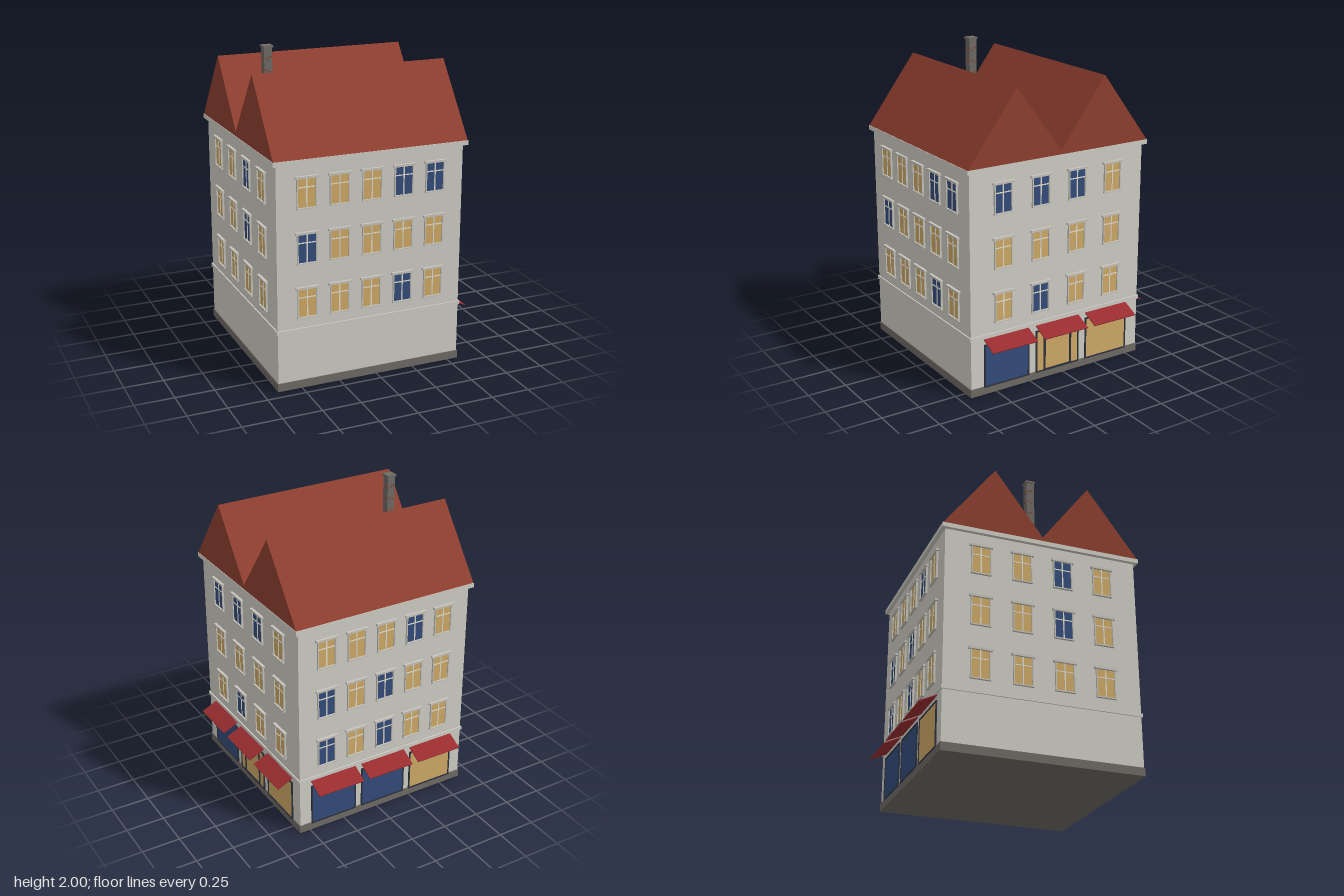
import * as THREE from 'three';

const mat = (name, color) => {
  const m = new THREE.MeshStandardMaterial({ color });
  m.name = name;
  return m;
};

export function createModel() {
  const wall = mat('plaster', 0xcfcdc5);
  const trim = mat('window trim', 0xc6c4bb);
  const roofMat = mat('roof tile', 0x8f3f30);
  const stone = mat('stone', 0x6f6a64);
  const lit = mat('lit glass', 0xd0aa66);
  const blue = mat('blue glass', 0x344c7c);
  const awningMat = mat('awning cloth', 0x9a2c30);
  const dark = mat('dark frame', 0x2c3240);
  const bar = mat('glazing bar', 0xe0dccf);
  const brick = mat('brick', 0x8a4434);

  const model = new THREE.Group();
  model.name = 'cornerHouse';
  // The house body sits off centre, since awnings project on two sides only
  const house = new THREE.Group();
  house.name = 'house';
  house.position.set(-0.042, 0, 0.046);
  model.add(house);

  const HX = 0.61, HZ = 0.63; // half width and half depth of the walls

  const add = (parent, name, geo, material, x = 0, y = 0, z = 0) => {
    const mesh = new THREE.Mesh(geo, material);
    mesh.name = name;
    mesh.position.set(x, y, z);
    parent.add(mesh);
    return mesh;
  };
  const box = (parent, name, material, w, h, d, x, y, z) =>
    add(parent, name, new THREE.BoxGeometry(w, h, d), material, x, y, z);
  // Storey slab between two heights, overhanging the walls by a margin
  const slab = (name, material, y0, y1, over) =>
    box(house, name, material, 2 * (HX + over), y1 - y0, 2 * (HZ + over), 0, (y0 + y1) / 2, 0);

  slab('walls', wall, 0.04, 1.43, 0);
  slab('plinth', stone, 0, 0.052, 0.005);
  slab('stringCourse', wall, 0.372, 0.395, 0.008);
  slab('cornice', wall, 1.42, 1.449, 0.024);

  // Twin-ridged roof, extruded along x
  const profile = new THREE.Shape();
  profile.moveTo(-0.65, 1.449);
  profile.lineTo(0.65, 1.449);
  profile.lineTo(0.315, 1.895);
  profile.lineTo(0, 1.475);
  profile.lineTo(-0.315, 1.895);
  profile.closePath();
  const roofGeo = new THREE.ExtrudeGeometry(profile, { depth: 1.262, bevelEnabled: false });
  roofGeo.translate(0, 0, -0.631).rotateY(Math.PI / 2);
  add(house, 'roof', roofGeo, roofMat);

  // Chimney with cap and exposed bricks
  const chimney = new THREE.Group();
  chimney.name = 'chimney';
  chimney.position.set(-0.419, 0, -0.003);
  house.add(chimney);
  box(chimney, 'chimneyStack', stone, 0.052, 0.38, 0.052, 0, 1.8, 0);
  box(chimney, 'chimneyCap', stone, 0.064, 0.014, 0.064, 0, 1.993, 0);
  for (let side = 0; side < 4; side++) {
    const face = new THREE.Group();
    face.name = 'chimneyBricks';
    face.rotation.y = side * Math.PI / 2;
    chimney.add(face);
    for (let i = 0; i < 4; i++) {
      const s = i % 2 ? 1 : -1;
      const y = 1.69 + i * 0.08;
      box(face, 'brick', brick, 0.018, 0.008, 0.003, s * 0.012, y, 0.0262);
      box(face, 'brick', brick, 0.018, 0.008, 0.003, -s * 0.008, y - 0.012, 0.0262);
    }
  }

  // Rectangular frame with an opening, origin at bottom centre
  const frameGeo = (w, h, t, depth) => {
    const rect = (path, x, y0, y1) => {
      path.moveTo(-x, y0);
      path.lineTo(x, y0);
      path.lineTo(x, y1);
      path.lineTo(-x, y1);
      path.closePath();
      return path;
    };
    const shape = rect(new THREE.Shape(), w / 2, 0, h);
    shape.holes.push(rect(new THREE.Path(), w / 2 - t, t, h - t));
    return new THREE.ExtrudeGeometry(shape, { depth, bevelEnabled: false });
  };
  const windowFrame = frameGeo(0.126, 0.192, 0.007, 0.012);
  const shopFrame = frameGeo(0.326, 0.285, 0.009, 0.008);
  const doorFrame = frameGeo(0.208, 0.268, 0.013, 0.009);

  // Sash window with lintel, facing +z
  const addWindow = (side, x, y, glass) => {
    const g = new THREE.Group();
    g.name = 'window';
    g.position.set(x, y, 0);
    side.add(g);
    add(g, 'windowSurround', windowFrame, trim);
    box(g, 'windowPane', glass, 0.114, 0.18, 0.004, 0, 0.096, 0.002);
    box(g, 'mullion', bar, 0.008, 0.178, 0.004, 0, 0.096, 0.005);
    box(g, 'transom', bar, 0.112, 0.007, 0.004, 0, 0.13, 0.005);
    box(g, 'lintel', trim, 0.148, 0.014, 0.018, 0, 0.191, 0.009);
    box(g, 'sill', trim, 0.13, 0.008, 0.015, 0, 0.002, 0.0075);
  };

  // Shop front with sloping awning, facing +z
  const addShop = (side, x, glass, hasDoor) => {
    const g = new THREE.Group();
    g.name = 'shopFront';
    g.position.set(x, 0.045, 0);
    side.add(g);
    add(g, 'shopFrame', shopFrame, dark);
    box(g, 'shopGlass', glass, 0.31, 0.27, 0.004, 0, 0.142, 0.002);
    if (hasDoor) add(g, 'doorFrame', doorFrame, dark);
    const awning = box(g, 'awning', awningMat, 0.323, 0.006, 0.118, 0, 0.293, 0.053);
    awning.rotation.x = 0.45;
  };

  // Each side lists its storeys from the top, left to right; Y lit, B blue
  const sides = [
    { name: 'frontWall', turn: 0, out: HZ, step: 0.21, rows: ['YYYBB', 'BYYYY', 'YYYBY'] },
    { name: 'leftWall', turn: 1, out: HX, step: 0.267, rows: ['BBBY', 'YYYY', 'YBYY'], shops: 'BYY', gap: 0.377, door: 1 },
    { name: 'backWall', turn: 2, out: HZ, step: 0.21, rows: ['YYYBY', 'BYBYY', 'BYBYY'], shops: 'BBY', gap: 0.368 },
    { name: 'rightWall', turn: 3, out: HX, step: 0.267, rows: ['YYBY', 'YYBY', 'YYYY'] },
  ];
  const storeys = [1.146, 0.804, 0.46];
  const glassOf = (c) => (c === 'B' ? blue : lit);

  for (const s of sides) {
    const pivot = new THREE.Group();
    pivot.name = s.name;
    pivot.rotation.y = s.turn * Math.PI / 2;
    house.add(pivot);
    const face = new THREE.Group();
    face.name = s.name + 'Details';
    face.position.z = s.out;
    pivot.add(face);
    s.rows.forEach((row, r) => {
      [...row].forEach((c, i) => addWindow(face, (i - (row.length - 1) / 2) * s.step, storeys[r], glassOf(c)));
    });
    [...(s.shops || '')].forEach((c, i) => addShop(face, (i - 1) * s.gap, glassOf(c), i === s.door));
  }
  return model;
}
